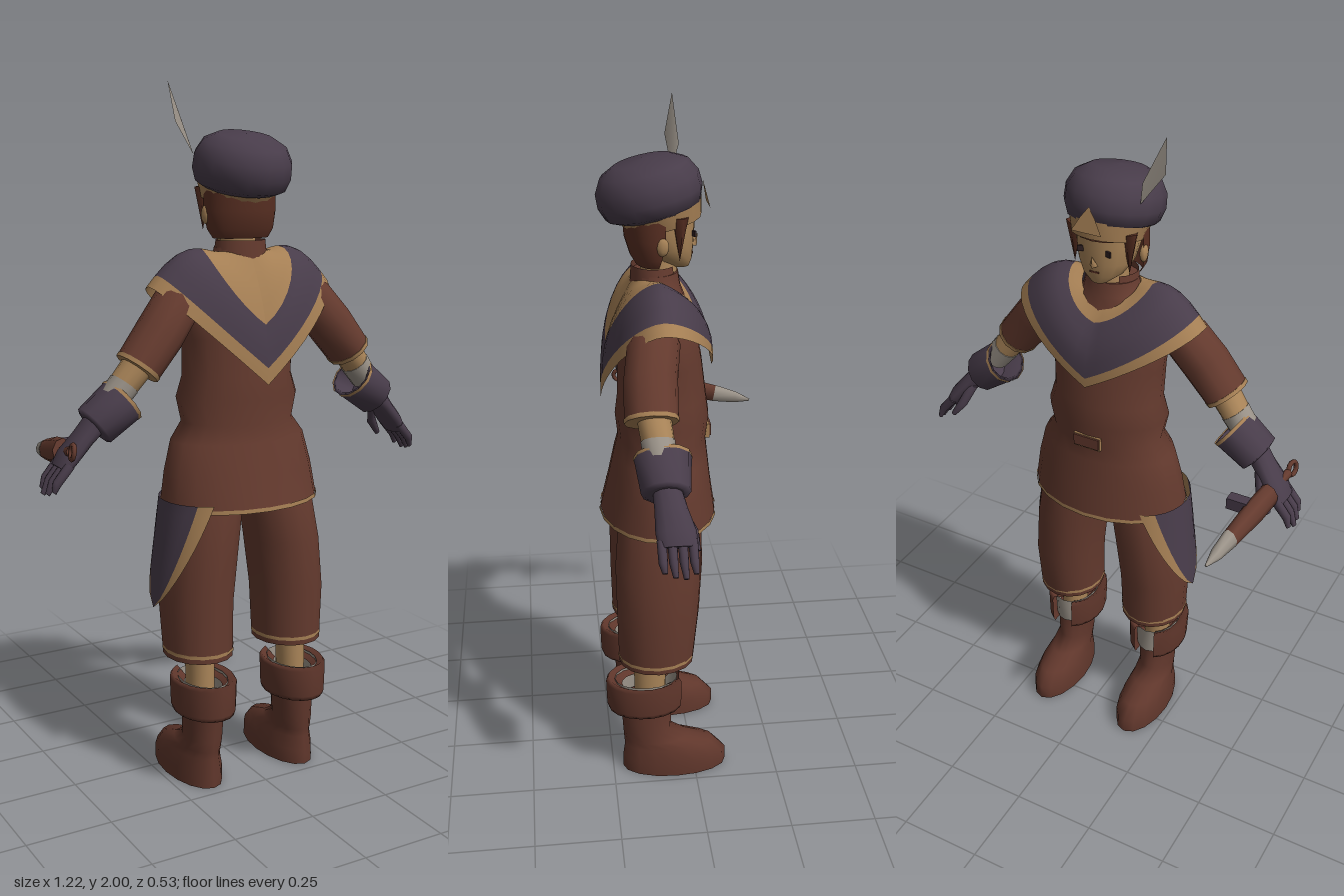
import * as THREE from 'three';

const mat = (name, color) => {
  const m = new THREE.MeshStandardMaterial({ color, side: THREE.DoubleSide });
  m.name = name;
  return m;
};

export function createModel() {
  const brown = mat('brown cloth', 0x643a2e), leather = mat('boot leather', 0x5f362b);
  const purple = mat('dark purple', 0x483c4a), tan = mat('tan trim', 0xa57f54);
  const skin = mat('skin', 0xa98458), hair = mat('hair', 0x5a3023);
  const grey = mat('pale grey', 0x9a9288), dark = mat('eye dark', 0x2e2022);

  const model = new THREE.Group();
  model.name = 'adventurer';
  const add = (parent, name, geo, m) => {
    const mesh = new THREE.Mesh(geo, m);
    mesh.name = name;
    parent.add(mesh);
    return mesh;
  };
  const group = (parent, name) => {
    const g = new THREE.Group();
    g.name = name;
    parent.add(g);
    return g;
  };
  const build = (pos, idx) => {
    const g = new THREE.BufferGeometry();
    g.setAttribute('position', new THREE.Float32BufferAttribute(pos, 3));
    g.setIndex(idx);
    g.computeVertexNormals();
    return g;
  };

  // Stack of ellipses [y, cx, cz, rx, rz], bottom to top; a below pi leaves a gap at -z
  const loft = (rings, { n = 16, a = Math.PI, caps = true } = {}) => {
    const closed = a === Math.PI, w = closed ? n : n + 1, pos = [], idx = [];
    for (const [y, cx, cz, rx, rz] of rings)
      for (let j = 0; j < w; j++) {
        const t = -a + (2 * a * j) / n;
        pos.push(cx + rx * Math.sin(t), y, cz + rz * Math.cos(t));
      }
    for (let i = 0; i < rings.length - 1; i++)
      for (let j = 0; j < n; j++) {
        const k = closed ? (j + 1) % n : j + 1, p = i * w + j, q = i * w + k;
        idx.push(p, q, p + w, q, q + w, p + w);
      }
    if (caps && closed)
      [0, rings.length - 1].forEach((r, top) => {
        const [y, cx, cz] = rings[r], c = pos.length / 3, base = c + 1;
        pos.push(cx, y, cz);
        for (let j = 0; j < n; j++) pos.push(...pos.slice((r * w + j) * 3, (r * w + j) * 3 + 3));
        for (let j = 0; j < n; j++) {
          const p = base + j, q = base + ((j + 1) % n);
          top ? idx.push(c, p, q) : idx.push(c, q, p);
        }
      });
    return build(pos, idx);
  };

  // Sheet from a function of (u, v), both 0..1
  const sheet = (f, nu, nv) => {
    const pos = [], idx = [];
    for (let i = 0; i <= nv; i++) for (let j = 0; j <= nu; j++) pos.push(...f(j / nu, i / nv));
    for (let i = 0; i < nv; i++)
      for (let j = 0; j < nu; j++) {
        const p = i * (nu + 1) + j, q = p + nu + 1;
        idx.push(p, q, p + 1, p + 1, q, q + 1);
      }
    return build(pos, idx);
  };

  // Tunic with waist, collar and hem
  add(model, 'tunic', loft([
    [0.83, 0, 0.09, 0.243, 0.17], [0.92, 0, 0.085, 0.23, 0.152], [1.01, 0, 0.08, 0.207, 0.137],
    [1.06, 0, 0.076, 0.17, 0.128], [1.13, 0, 0.075, 0.185, 0.136], [1.19, 0, 0.075, 0.166, 0.128],
    [1.3, 0, 0.08, 0.17, 0.12], [1.4, 0, 0.085, 0.18, 0.105], [1.47, 0, 0.09, 0.14, 0.085],
    [1.51, 0, 0.09, 0.085, 0.07], [1.55, 0, 0.092, 0.076, 0.066]], { n: 20 }), brown);
  add(model, 'collar', loft([[1.5, 0, 0.092, 0.082, 0.07], [1.57, 0, 0.095, 0.073, 0.062]],
    { a: 2.5, caps: false }), brown);
  add(model, 'tunicHem', loft([[0.822, 0, 0.09, 0.246, 0.173], [0.834, 0, 0.09, 0.245, 0.172]],
    { n: 20, caps: false }), tan);
  add(model, 'buckleEdge', new THREE.BoxGeometry(0.085, 0.042, 0.02), tan).position.set(0, 1.075, -0.05);
  add(model, 'buckle', new THREE.BoxGeometry(0.08, 0.034, 0.02), brown).position.set(0, 1.077, -0.055);

  // Shoulder mantle: surface from neck (t = 0) to hem (t = 1), a = 0 at the back
  const mantle = (a, t) => {
    const s = Math.sin(a), c = Math.cos(a), b = Math.sin(Math.PI * t);
    const drop = (c > 0 ? 0.27 : 0.185) * Math.pow(1 - Math.abs(s), 0.9);
    const L = THREE.MathUtils.lerp;
    return [L(0.085, 0.285, t) * s,
      L(1.54 - 0.05 * Math.max(0, -c), 1.45 - drop, t) + 0.045 * b * s * s,
      L(0.085 + 0.065 * c, 0.09 + 0.16 * c, t) + 0.03 * c * b];
  };
  const inner = a => 0.2 + 0.34 * Math.pow(Math.max(0, Math.cos(a)), 1.5);
  const band = (name, t0, t1, m) => add(model, name, sheet((u, v) => {
    const a = u * 2 * Math.PI;
    return mantle(a, THREE.MathUtils.lerp(t0(a), t1(a), v));
  }, 40, 4), m);
  band('mantleInnerTrim', () => 0, inner, tan);
  band('mantle', inner, () => 0.87, purple);
  band('mantleOuterTrim', () => 0.87, () => 1, tan);

  // Head and neck
  add(model, 'neck', loft([[1.48, 0, 0.08, 0.055, 0.055], [1.62, 0, 0.08, 0.048, 0.048]]), skin);
  add(model, 'face', loft([[1.562, 0, 0.02, 0.025, 0.025], [1.585, 0, 0.04, 0.058, 0.053],
    [1.62, 0, 0.06, 0.08, 0.077], [1.67, 0, 0.07, 0.09, 0.09], [1.76, 0, 0.07, 0.09, 0.09]]), skin);
  const nose = add(model, 'nose', new THREE.ConeGeometry(0.012, 0.035, 4), skin);
  nose.position.set(0, 1.635, -0.022);
  nose.rotation.x = -0.4;
  add(model, 'mouth', new THREE.BoxGeometry(0.028, 0.005, 0.006), hair).position.set(0, 1.599, -0.012);
  add(model, 'backHair', loft([[1.575, 0, 0.095, 0.085, 0.05], [1.6, 0, 0.092, 0.1, 0.068],
    [1.65, 0, 0.085, 0.107, 0.09], [1.74, 0, 0.085, 0.103, 0.095]], { a: 1.75 }), hair);
  add(model, 'fringe', loft([[1.695, 0, 0.07, 0.099, 0.098], [1.75, 0, 0.075, 0.1, 0.1]], { caps: false }), hair);
  for (const s of [-1, 1]) {
    const eye = add(model, 'eye', new THREE.BoxGeometry(0.028, 0.016, 0.006), dark);
    eye.position.set(s * 0.037, 1.66, -0.011);
    eye.rotation.y = s * 0.4;
    const lock = add(model, 'sideLock', new THREE.ConeGeometry(0.024, 0.12, 5), hair);
    lock.position.set(s * 0.084, 1.655, 0.03);
    lock.rotation.x = Math.PI;
    const ear = add(model, 'ear', new THREE.SphereGeometry(0.022, 8, 6), skin);
    ear.position.set(s * 0.102, 1.64, 0.078);
    ear.scale.set(0.5, 1.2, 0.8);
  }

  // Soft cap tilted towards the back, with a band and a feather
  const cap = group(model, 'cap');
  cap.position.set(0, 1.775, 0.105);
  cap.rotation.x = 0.22;
  const v2 = pts => pts.map(p => new THREE.Vector2(...p));
  add(cap, 'capCrown', new THREE.LatheGeometry(v2([[0.1, -0.068], [0.125, -0.055], [0.137, -0.02],
    [0.135, 0.02], [0.115, 0.058], [0.075, 0.08], [0, 0.086]]), 16), purple).scale.z = 1.07;
  add(cap, 'capBand', loft([[-0.1, 0, -0.02, 0.1, 0.105], [-0.05, 0, -0.015, 0.113, 0.122]], { caps: false }), tan);
  const peak = new THREE.Shape(v2([[-0.045, -0.035], [0.045, -0.035], [0.022, 0.005], [0, 0.035], [-0.022, 0.005]]));
  add(cap, 'bandPeak', new THREE.ShapeGeometry(peak), tan).position.set(0, -0.045, -0.149);
  const fp = [[-0.112, 1.8, 0.03], [-0.176, 1.89, 0.043], [-0.187, 2, 0.02], [-0.128, 1.87, 0.008]];
  add(model, 'feather', build(fp.flat(), [0, 2, 1, 0, 3, 2]), grey);

  // Arms, built hanging down and mirrored; rings are [distance, cx, cz, rx, rz]
  const limb = rings => loft(rings.map(([s, ...r]) => [-s, ...r]).reverse(), { n: 12 });
  for (const side of [-1, 1]) {
    const half = group(model, side < 0 ? 'rightSide' : 'leftSide');
    half.scale.x = side;
    const arm = group(half, 'arm');
    arm.position.set(0.2, 1.42, 0);
    arm.rotation.z = 0.675;
    add(arm, 'sleeve', limb([[-0.03, 0, 0.11, 0.04, 0.05], [0.02, 0, 0.115, 0.066, 0.072],
      [0.12, 0, 0.13, 0.068, 0.073], [0.23, 0, 0.135, 0.063, 0.072]]), brown);
    add(arm, 'sleeveTrim', limb([[0.222, 0, 0.135, 0.065, 0.074], [0.234, 0, 0.135, 0.064, 0.073]]), tan);
    add(arm, 'forearm', limb([[0.2, 0, 0.13, 0.045, 0.047], [0.29, 0, 0.122, 0.041, 0.044]]), skin);
    add(arm, 'underSleeve', limb([[0.285, 0, 0.122, 0.043, 0.046], [0.35, 0, 0.118, 0.04, 0.042]]), grey);
    const cuff = group(arm, 'gloveCuff');
    cuff.position.set(-0.014, -0.375, 0.11);
    cuff.rotation.z = 0.25;
    add(cuff, 'cuff', loft([[-0.055, 0, 0, 0.045, 0.048], [-0.05, 0, 0, 0.062, 0.066],
      [0.055, 0, 0, 0.067, 0.077], [0.055, 0, 0, 0.056, 0.066], [0.0, 0, 0, 0.04, 0.045]], { n: 12 }), purple);
    add(cuff, 'cuffTrim', loft([[0.048, 0, 0, 0.068, 0.078], [0.058, 0, 0, 0.068, 0.078]], { n: 12, caps: false }), tan);
    add(arm, 'glovePalm', limb([[0.41, 0, 0.108, 0.034, 0.038], [0.47, 0.002, 0.1, 0.028, 0.044],
      [0.53, 0.004, 0.092, 0.027, 0.054], [0.57, 0.002, 0.09, 0.02, 0.05]]), purple);
    for (let i = 0; i < 4; i++) {
      const z = 0.05 + i * 0.027, end = 0.655 - 0.012 * Math.abs(i - 1.3);
      add(arm, 'finger', limb([[0.55, 0.002, z, 0.014, 0.013], [0.61, 0.004, z, 0.013, 0.012],
        [end, -0.006, z - 0.004, 0.007, 0.007]]), purple);
    }
    add(arm, 'thumb', limb([[0.46, -0.01, 0.08, 0.015, 0.016], [0.52, -0.028, 0.045, 0.015, 0.014],
      [0.575, -0.032, 0.036, 0.008, 0.008]]), purple);

    // Trousers, shin and boot
    add(half, 'trouserLeg', loft([[0.385, 0.15, 0.112, 0.1, 0.112], [0.55, 0.152, 0.105, 0.106, 0.122],
      [0.7, 0.137, 0.1, 0.108, 0.128], [0.82, 0.118, 0.095, 0.108, 0.122], [0.9, 0.1, 0.09, 0.1, 0.11]]), brown);
    add(half, 'trouserHem', loft([[0.4, 0.15, 0.112, 0.102, 0.114], [0.41, 0.15, 0.112, 0.102, 0.114]], { caps: false }), tan);
    add(half, 'shin', loft([[0.2, 0.155, 0.135, 0.04, 0.046], [0.42, 0.155, 0.13, 0.042, 0.05]]), skin);
    add(half, 'boot', loft([[0, 0.157, 0.06, 0.075, 0.16], [0.045, 0.157, 0.06, 0.074, 0.159],
      [0.085, 0.157, 0.075, 0.064, 0.138], [0.108, 0.156, 0.115, 0.057, 0.1], [0.14, 0.155, 0.143, 0.054, 0.074],
      [0.25, 0.153, 0.145, 0.058, 0.078]]), leather);
    add(half, 'bootCuff', loft([[0.24, 0.153, 0.145, 0.055, 0.07], [0.222, 0.153, 0.148, 0.084, 0.112],
      [0.235, 0.153, 0.148, 0.088, 0.116], [0.315, 0.153, 0.148, 0.091, 0.118], [0.326, 0.153, 0.148, 0.084, 0.11],
      [0.3, 0.153, 0.148, 0.05, 0.07]], { a: 2.75 }), leather);
    add(half, 'bootLining', loft([[0.23, 0.153, 0.145, 0.062, 0.09], [0.32, 0.153, 0.145, 0.066, 0.095]], { caps: false }), grey);
  }

  // Pointed sash over one hip, with trim on both edges
  const sash = (name, u0, u1, m) => add(model, name, sheet((u, v) => {
    const w = THREE.MathUtils.lerp(u0, u1, u) * 1.25 * Math.pow(1 - v, 0.7);
    const r = 0.128 + 0.022 * v;
    return [-0.122 - 0.016 * v - r * Math.cos(w), 0.85 - 0.31 * v, 0.1 + (r + 0.012) * Math.sin(w)];
  }, 8, 10), m);
  sash('sash', -0.72, 0.72, purple);
  sash('sashTrimFront', -1, -0.72, tan);
  sash('sashTrimBack', 0.72, 1, tan);

  // Sheathed dagger held forward in one hand
  const dagger = group(model, 'dagger');
  dagger.position.set(-0.55, 1.035, 0.16);
  dagger.quaternion.setFromUnitVectors(new THREE.Vector3(0, 1, 0),
    new THREE.Vector3(0.07, -0.08, -0.425).normalize());
  add(dagger, 'pommelRing', new THREE.TorusGeometry(0.02, 0.007, 6, 12), brown).rotation.y = Math.PI / 2;
  add(dagger, 'handle', loft([[0.02, 0, 0, 0.012, 0.014], [0.14, 0, 0, 0.012, 0.014]], { n: 8 }), brown);
  add(dagger, 'sheath', loft([[0.12, 0, 0, 0.027, 0.036], [0.2, 0, 0, 0.028, 0.038], [0.32, 0, 0, 0.021, 0.03]], { n: 8 }), brown);
  add(dagger, 'sheathTip', loft([[0.319, 0, 0, 0.022, 0.031], [0.39, 0, 0, 0.016, 0.02], [0.438, 0, 0, 0.003, 0.004]], { n: 8 }), grey);
  add(model, 'sheathTab', new THREE.BoxGeometry(0.06, 0.035, 0.035), purple).position.set(-0.47, 1.01, -0.035);
  return model;
}
